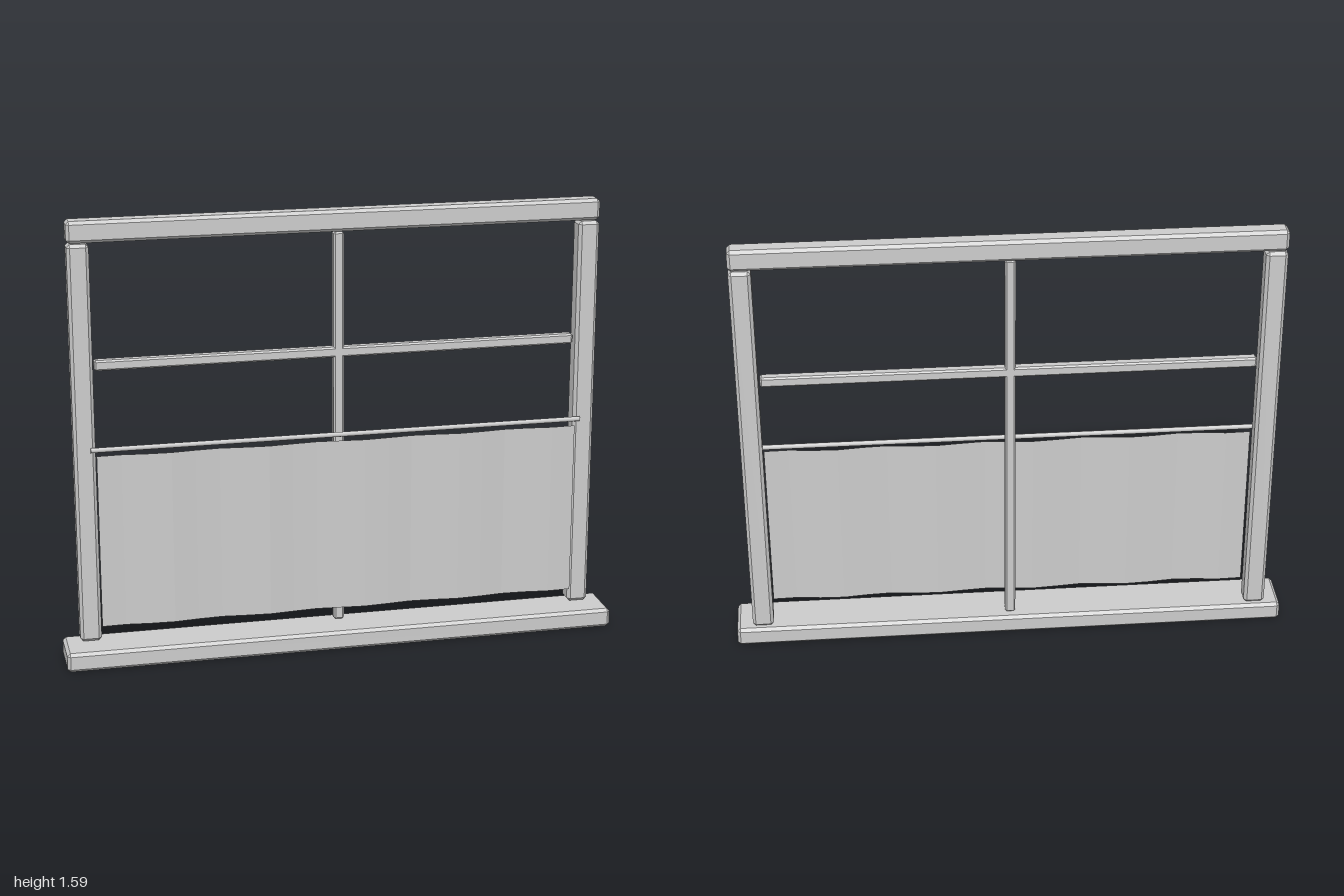
import * as THREE from 'three';
import { ConvexGeometry } from 'three/addons/geometries/ConvexGeometry.js';

const paleGrey = new THREE.MeshStandardMaterial({ color: 0xcccccc, side: THREE.DoubleSide });
paleGrey.name = 'paleGrey';

// Box with every edge chamfered by c
function chamferBox(w, h, d, c) {
  const pts = [];
  for (const sx of [-1, 1]) for (const sy of [-1, 1]) for (const sz of [-1, 1]) {
    const x = w / 2, y = h / 2, z = d / 2;
    pts.push(
      new THREE.Vector3(sx * x, sy * (y - c), sz * (z - c)),
      new THREE.Vector3(sx * (x - c), sy * y, sz * (z - c)),
      new THREE.Vector3(sx * (x - c), sy * (y - c), sz * z));
  }
  return new ConvexGeometry(pts);
}

export function createModel() {
  const group = new THREE.Group();
  group.name = 'window';

  const add = (name, geometry, x, y, z) => {
    const mesh = new THREE.Mesh(geometry, paleGrey);
    mesh.name = name;
    mesh.position.set(x, y, z);
    group.add(mesh);
    return mesh;
  };

  // Frame
  add('sill', chamferBox(2, 0.07, 0.18, 0.011), 0, 0.035, 0);
  add('topRail', chamferBox(1.885, 0.076, 0.07, 0.011), 0, 1.549, -0.043);
  for (const [name, side] of [['leftPost', 1], ['rightPost', -1]]) {
    add(name, chamferBox(0.076, 1.435, 0.07, 0.011), side * 0.904, 0.79, -0.043);
  }

  // Glazing bars
  add('verticalBar', chamferBox(0.037, 1.435, 0.036, 0.006), 0, 0.79, -0.043);
  add('crossBar', chamferBox(1.72, 0.037, 0.036, 0.006), 0, 1.078, -0.043);

  // Curtain rod
  const rod = new THREE.CylinderGeometry(0.009, 0.009, 1.77, 8);
  rod.rotateZ(Math.PI / 2);
  add('curtainRod', rod, 0, 0.785, 0.002);

  // Half-height curtain with shallow faceted folds
  let curtain = new THREE.PlaneGeometry(1.73, 0.632, 20, 1);
  const p = curtain.attributes.position;
  for (let i = 0; i < p.count; i++) p.setZ(i, 0.007 * Math.sin(17.5 * p.getX(i)));
  curtain = curtain.toNonIndexed();
  curtain.computeVertexNormals();
  add('curtain', curtain, 0, 0.447, 0.007);

  return group;
}
